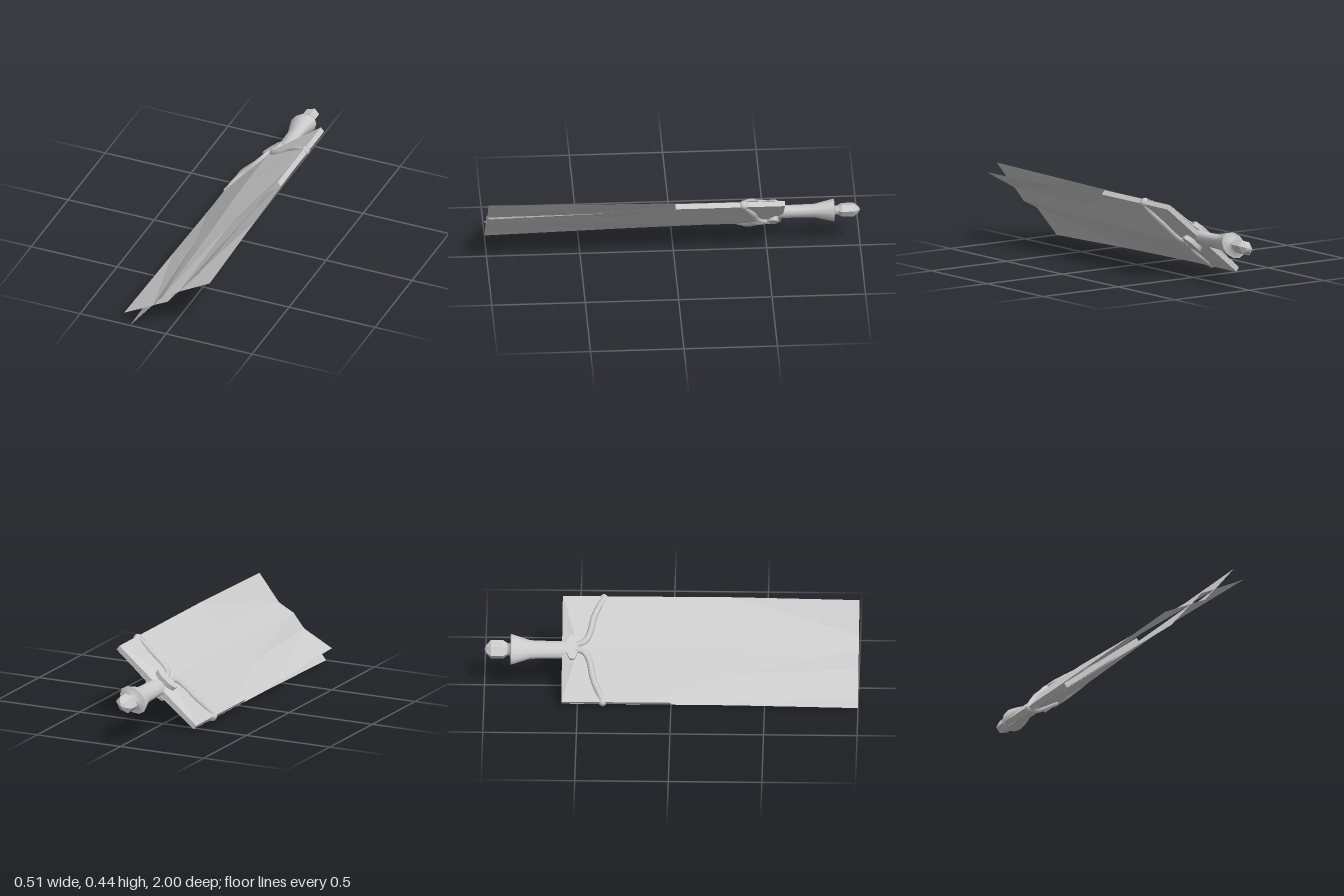
import * as THREE from 'three';

const grey = (opts = {}) => new THREE.MeshStandardMaterial({ color: 0xcccccc, side: THREE.DoubleSide, ...opts });

function mesh(name, geometry, material) {
  const m = new THREE.Mesh(geometry, material);
  m.name = name;
  return m;
}

// One face of the blade: each row is [edge, crease, middle], points are [halfWidth, height, z]
function bladeFace(endWidth) {
  const rows = [
    [[0.30, 0.014, -0.585], [0.15, 0.016, -0.585], [0, 0.02, -0.585]],
    [[0.30, 0.016, -0.56], [0.15, 0.033, -0.54], [0, 0.05, -0.50]],
    [[0.30, 0.016, -0.15], [0.27, 0.020, -0.15], [0, 0.05, -0.15]],
    [[0.298, 0.024, 0.33], [0.135, 0.022, 0.33], [0, 0.035, 0.33]],
    [[endWidth, 0.0385, 1], [0.097, -0.001, 1], [0, 0.02, 1]],
  ];
  const pos = [], index = [];
  for (const [e, c, m] of rows) {
    for (const [p, s] of [[e, -1], [c, -1], [m, 1], [c, 1], [e, 1]]) pos.push(p[0] * s, p[1], p[2]);
  }
  for (let r = 0; r < rows.length - 1; r++) {
    for (let k = 0; k < 4; k++) {
      const a = r * 5 + k, b = a + 5;
      // Mirror the diagonals about the middle line
      if (k < 2) index.push(a, b, b + 1, a, b + 1, a + 1);
      else index.push(a, b, a + 1, a + 1, b, b + 1);
    }
  }
  const g = new THREE.BufferGeometry();
  g.setAttribute('position', new THREE.Float32BufferAttribute(pos, 3));
  g.setIndex(index);
  g.computeVertexNormals();
  return g;
}

// Knot and two curved arms lying on one face of the blade
function guardSide() {
  const side = new THREE.Group();
  side.name = 'guard';
  const knotShape = new THREE.CylinderGeometry(1, 1, 0.027, 8);
  knotShape.rotateY(Math.PI / 8);
  knotShape.scale(0.073, 1, 0.033);
  const knot = mesh('guardKnot', knotShape, grey());
  knot.position.set(-0.003, 0.044, -0.53);
  side.add(knot);
  for (const s of [-1, 1]) {
    const path = new THREE.CatmullRomCurve3([
      [0.012, 0.045, -0.51], [0.03, 0.047, -0.465], [0.08, 0.043, -0.437],
      [0.17, 0.034, -0.418], [0.24, 0.022, -0.39], [0.297, 0.004, -0.36],
    ].map(([x, y, z]) => new THREE.Vector3(s * x, y, z)));
    side.add(mesh('guardArm', new THREE.TubeGeometry(path, 14, 0.017, 8), grey()));
    const tip = mesh('guardArmTip', new THREE.SphereGeometry(0.022, 8, 6), grey());
    tip.position.set(s * 0.295, 0.003, -0.365);
    side.add(tip);
  }
  return side;
}

// Flattened turned part running backwards along -z; profile is [radius, distance]
function turned(name, profile, sides, opts) {
  const g = new THREE.LatheGeometry(profile.map(([r, d]) => new THREE.Vector2(r, d)), sides);
  g.rotateX(-Math.PI / 2);
  g.scale(1, 0.7, 1);
  return mesh(name, g, grey(opts));
}

export function createModel() {
  const model = new THREE.Group();
  model.name = 'broadBlade';

  // Everything is built flat, then tilted about the long axis
  const tilted = new THREE.Group();
  tilted.name = 'tiltedBody';
  tilted.rotation.z = 0.695;
  tilted.position.set(-0.003, 0.226, 0);
  model.add(tilted);

  // Blade faces, parting towards the front
  const upper = mesh('bladeUpperFace', bladeFace(0.283), grey({ flatShading: true }));
  const lower = mesh('bladeLowerFace', bladeFace(0.302), grey({ flatShading: true }));
  lower.rotation.z = Math.PI;
  tilted.add(upper, lower);

  // Thin core closing the blade's sides and back
  const core = mesh('bladeCore', new THREE.BoxGeometry(0.6, 0.028, 0.585), grey());
  core.position.z = -0.2925;
  tilted.add(core);

  // Guard on both faces
  const guardA = guardSide(), guardB = guardSide();
  guardB.rotation.z = Math.PI;
  tilted.add(guardA, guardB);

  // Grip with flared end, and faceted pommel
  tilted.add(turned('grip', [
    [0.05, 0.54], [0.05, 0.66], [0.053, 0.755], [0.087, 0.855], [0.087, 0.86], [0.035, 0.862], [0.035, 0.885],
  ], 12));
  tilted.add(turned('pommel', [
    [0, 0.875], [0.035, 0.877], [0.053, 0.90], [0.053, 0.965], [0.025, 0.99], [0, 1],
  ], 6, { flatShading: true }));

  return model;
}
